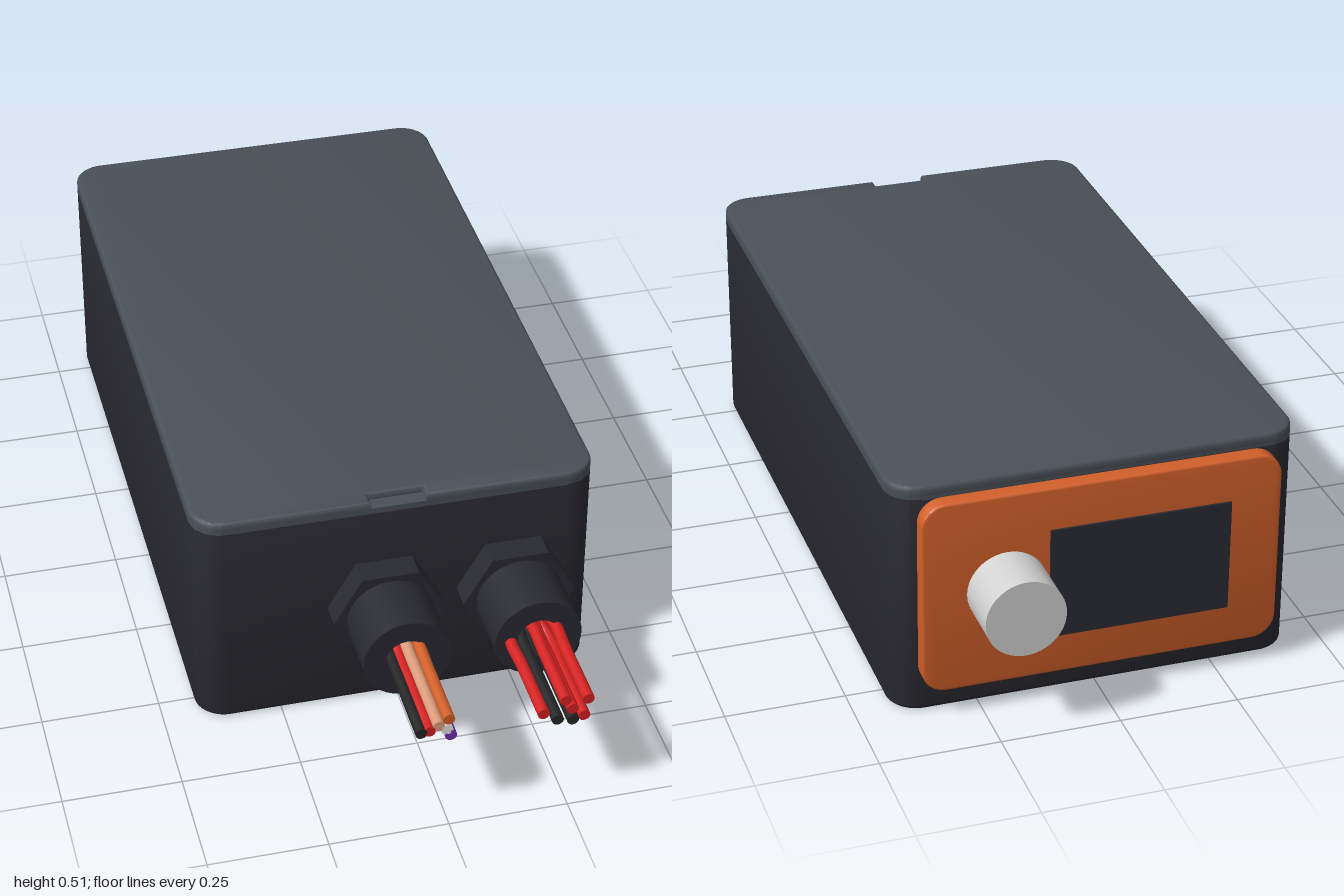
import * as THREE from 'three';
import { toCreasedNormals } from 'three/addons/utils/BufferGeometryUtils.js';

const mat = (name, color) => {
  const m = new THREE.MeshStandardMaterial({ color });
  m.name = name;
  return m;
};

export function createModel() {
  const shellMat = mat('charcoal', 0x292931);
  const lidMat = mat('slate', 0x4a5058);
  const orange = mat('orange', 0xd2602a);
  const peach = mat('peach', 0xdc9c7c);
  const silver = mat('silver', 0xd2d2d2);
  const screenMat = mat('screen black', 0x2a2b33);
  const red = mat('red', 0xd42222);
  const black = mat('black', 0x252527);
  const purple = mat('purple', 0x7230b4);
  const white = mat('white', 0xe8e8e8);

  const group = new THREE.Group();
  const add = (name, geo, material, parent = group) => {
    const mesh = new THREE.Mesh(geo, material);
    mesh.name = name;
    parent.add(mesh);
  };

  // Rounded rectangle, optionally with a notch in the lower edge
  const roundRect = (x0, y0, x1, y1, r, notch) => {
    const s = new THREE.Shape();
    s.moveTo(x0 + r, y0);
    if (notch) {
      s.lineTo(-notch.w, y0);
      s.lineTo(-notch.w, y0 + notch.d);
      s.lineTo(notch.w, y0 + notch.d);
      s.lineTo(notch.w, y0);
    }
    s.lineTo(x1 - r, y0);
    s.absarc(x1 - r, y0 + r, r, -Math.PI / 2, 0);
    s.lineTo(x1, y1 - r);
    s.absarc(x1 - r, y1 - r, r, 0, Math.PI / 2);
    s.lineTo(x0 + r, y1);
    s.absarc(x0 + r, y1 - r, r, Math.PI / 2, Math.PI);
    s.lineTo(x0, y0 + r);
    s.absarc(x0 + r, y0 + r, r, Math.PI, Math.PI * 1.5);
    return s;
  };

  // Extrusion filling a..b along its axis, bevel kept inside the outline
  const slab = (shape, a, b, bevel = 0) => {
    const geo = new THREE.ExtrudeGeometry(shape, {
      depth: b - a - 2 * bevel, curveSegments: 10, bevelEnabled: bevel > 0,
      bevelThickness: bevel, bevelSize: bevel, bevelOffset: -bevel, bevelSegments: 3,
    });
    geo.translate(0, 0, a + bevel);
    return toCreasedNormals(geo, 0.6);
  };
  const upright = (geo) => geo.rotateX(-Math.PI / 2);

  // Enclosure: shell walls, recessed floor, two-layer lid with a pry notch
  const plan = (inset = 0, notch) => roundRect(-0.425 + inset, -0.575 + inset,
    0.425 - inset, 0.845 - inset, 0.065 - inset, notch);
  const walls = plan();
  walls.holes.push(new THREE.Path(plan(0.022).getPoints(10).reverse()));
  add('shell', upright(slab(walls, 0, 0.495, 0.01)), shellMat);
  add('floor', upright(slab(plan(0.015), 0.035, 0.06)), black);
  add('lidRim', upright(slab(plan(), 0.483, 0.497)), lidMat);
  add('lidTop', upright(slab(plan(0, { w: 0.058, d: 0.03 }), 0.484, 0.512, 0.008)), lidMat);

  // Pale strip on the floor's underside
  const strip = new THREE.Shape([
    new THREE.Vector2(-0.083, -0.51), new THREE.Vector2(-0.17, -0.47),
    new THREE.Vector2(-0.3, 0.31), new THREE.Vector2(-0.083, 0.32),
  ]);
  add('floorStrip', upright(slab(strip, 0.034, 0.036)), silver);

  // Back panel with screen and knob
  const panelShape = roundRect(-0.375, 0.06, 0.375, 0.485, 0.05);
  add('backPanel', slab(panelShape, -0.88, -0.844, 0.004), orange);
  add('panelInnerFace', new THREE.ShapeGeometry(panelShape, 10).translate(0, 0, -0.8435), peach);
  add('screen', new THREE.BoxGeometry(0.38, 0.245, 0.008).translate(-0.078, 0.27, -0.881), screenMat);
  add('knob', new THREE.CylinderGeometry(0.083, 0.083, 0.13, 48).rotateX(Math.PI / 2)
    .translate(0.2, 0.275, -0.935), silver);

  // Cable glands: hexagonal nut and round collar around an open bore
  const ring = (sides, r, bore, z0, z1) => {
    const pts = [];
    for (let i = 0; i < sides; i++) {
      const a = (i / sides) * Math.PI * 2;
      pts.push(new THREE.Vector2(Math.cos(a) * r, Math.sin(a) * r));
    }
    const s = new THREE.Shape(pts);
    s.holes.push(new THREE.Path().absarc(0, 0, bore, 0, Math.PI * 2, true));
    return slab(s, z0, z1);
  };

  // Wires: end position, inner position and colour
  const bundles = [
    { name: 'leftGland', x: 0.247, wires: [
      [0.19, 0.255, 0.225, 0.268, red], [0.282, 0.277, 0.25, 0.265, red],
      [0.235, 0.281, 0.222, 0.262, red], [0.275, 0.235, 0.24, 0.27, red],
      [0.25, 0.257, 0.262, 0.245, red], [0.22, 0.234, 0.225, 0.245, black],
      [0.252, 0.228, 0.262, 0.228, black] ] },
    { name: 'rightGland', x: -0.03, wires: [
      [-0.062, 0.256, -0.058, 0.272, black], [-0.045, 0.258, -0.046, 0.285, red],
      [-0.006, 0.282, -0.02, 0.286, orange], [-0.026, 0.268, -0.028, 0.28, peach],
      [-0.009, 0.256, -0.012, 0.27, white], [-0.001, 0.24, 0, 0.27, purple] ] },
  ];
  for (const { name, x, wires } of bundles) {
    const gland = new THREE.Group();
    gland.name = name;
    group.add(gland);
    add('hexNut', ring(6, 0.12, 0.046, 0.574, 0.632).translate(x, 0.255, 0), shellMat, gland);
    add('collar', ring(48, 0.092, 0.046, 0.632, 0.772).translate(x, 0.255, 0), shellMat, gland);
    add('boreEnd', new THREE.CircleGeometry(0.047, 32).translate(x, 0.255, 0.577), peach, gland);
    for (const [ex, ey, ix, iy, material] of wires) {
      const path = new THREE.CatmullRomCurve3([
        new THREE.Vector3(ix, iy, 0.575), new THREE.Vector3(ix, iy, 0.64),
        new THREE.Vector3(ex, ey, 0.75), new THREE.Vector3(ex, ey, 0.85),
        new THREE.Vector3(ex, ey, 1),
      ]);
      add('wire', new THREE.TubeGeometry(path, 20, 0.0125, 12), material, gland);
      add('wireEnd', new THREE.CircleGeometry(0.0125, 12).translate(ex, ey, 1), material, gland);
    }
  }
  return group;
}
